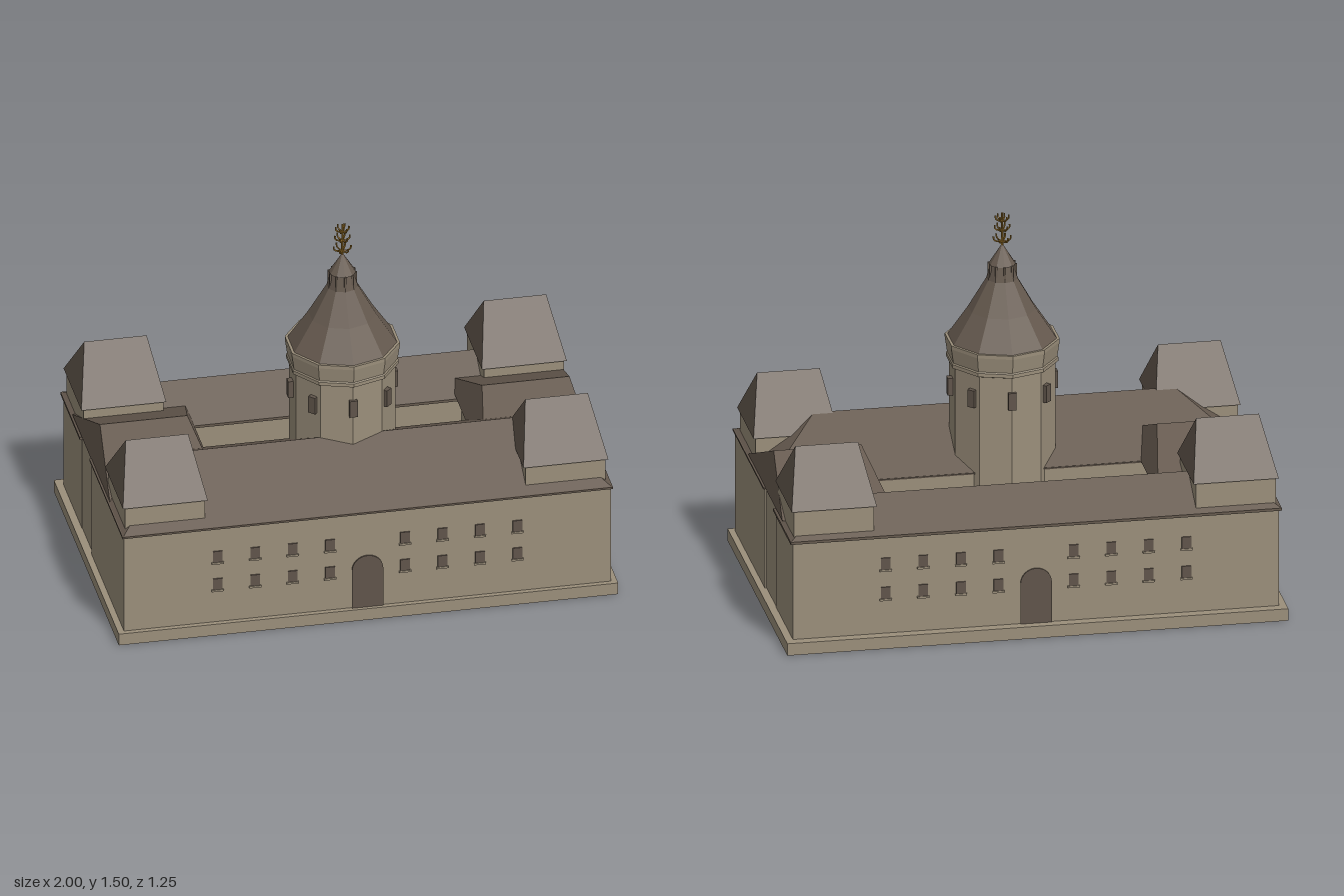
import * as THREE from 'three';

const mat = (name, color) => {
  const m = new THREE.MeshStandardMaterial({ color, flatShading: true });
  m.name = name;
  return m;
};

export function createModel() {
  const model = new THREE.Group();
  const wall = mat('tan stone', 0x9b8f7b);
  const roof = mat('brown roof', 0x665a4f);
  const dark = mat('dark opening', 0x60554b);
  const gold = mat('gold', 0x9a7228);

  const add = (name, geo, material, x = 0, y = 0, z = 0, parent = model) => {
    const m = new THREE.Mesh(geo, material);
    m.name = name;
    m.position.set(x, y, z);
    parent.add(m);
    return m;
  };
  // Box given by its limits on each axis
  const block = (name, material, x0, x1, y0, y1, z0, z1) =>
    add(name, new THREE.BoxGeometry(x1 - x0, y1 - y0, z1 - z0), material,
      (x0 + x1) / 2, (y0 + y1) / 2, (z0 + z1) / 2);
  // Hipped roof with its ridge along x from r0 to r1
  const hipRoof = (name, x0, x1, z0, z1, y0, y1, r0, r1) => {
    const zr = (z0 + z1) / 2;
    const p = [[x0, y0, z1], [x1, y0, z1], [x1, y0, z0], [x0, y0, z0], [r0, y1, zr], [r1, y1, zr]];
    const faces = [0, 1, 5, 0, 5, 4, 1, 2, 5, 2, 3, 4, 2, 4, 5, 3, 0, 4, 0, 3, 2, 0, 2, 1];
    const g = new THREE.BufferGeometry();
    g.setAttribute('position', new THREE.Float32BufferAttribute(faces.flatMap(i => p[i]), 3));
    g.computeVertexNormals();
    return add(name, g, roof);
  };

  // Plinth and long wings
  block('plinth', wall, -1, 1, 0, 0.05, -0.626, 0.626);
  block('frontWing', wall, -0.975, 0.975, 0.05, 0.47, -0.024, 0.605);
  block('backWing', wall, -0.97, 0.97, 0.05, 0.455, -0.585, -0.23);
  block('frontEave', roof, -0.982, 0.982, 0.468, 0.476, -0.028, 0.612);
  block('backEave', roof, -0.98, 0.98, 0.452, 0.463, -0.593, -0.222);
  hipRoof('frontWingRoof', -0.98, 0.98, -0.03, 0.61, 0.474, 0.65, -0.72, 0.72);
  hipRoof('backWingRoof', -0.978, 0.978, -0.59, -0.222, 0.462, 0.572, -0.8, 0.8);

  // Side wings
  for (const s of [-1, 1]) {
    const span = (a, b) => (s > 0 ? [a, b] : [-b, -a]);
    block('sideWing', wall, ...span(0.55, 0.968), 0.05, 0.475, -0.3, 0.2);
    hipRoof('sideWingRoof', ...span(0.525, 0.975), -0.39, 0.34, 0.474, 0.627, ...span(0.59, 0.94));
    // Corner towers
    for (const cz of [0.4, -0.4]) {
      block('cornerTower', wall, ...span(0.642, 0.962), 0.45, 0.582, cz - 0.165, cz + 0.165);
      hipRoof('cornerTowerRoof', ...span(0.632, 0.972), cz - 0.172, cz + 0.172, 0.58, 0.79, ...span(0.675, 0.925));
    }
  }

  // Windows and doors on both long facades
  const arch = new THREE.Shape();
  arch.moveTo(-0.0625, 0.05);
  arch.lineTo(0.0625, 0.05);
  arch.lineTo(0.0625, 0.218);
  arch.absarc(0, 0.218, 0.0625, 0, Math.PI, false);
  arch.closePath();
  const doorGeo = new THREE.ExtrudeGeometry(arch, { depth: 0.008, bevelEnabled: false, curveSegments: 8 });
  const paneGeo = new THREE.BoxGeometry(0.038, 0.05, 0.008);
  const sillGeo = new THREE.BoxGeometry(0.048, 0.008, 0.012);
  for (const [z, turn] of [[0.605, 0], [-0.585, Math.PI]]) {
    const facade = new THREE.Group();
    facade.name = 'facadeOpenings';
    facade.position.z = z;
    facade.rotation.y = turn;
    add('door', doorGeo, dark, 0, 0, -0.002, facade);
    for (const x of [0.15, 0.3, 0.45, 0.6, -0.15, -0.3, -0.45, -0.6]) {
      for (const y of [0.22, 0.343]) {
        add('window', paneGeo, dark, x, y, 0.001, facade);
        add('windowSill', sillGeo, wall, x, y - 0.028, 0.002, facade);
      }
    }
    model.add(facade);
  }

  // Ten-sided drum and dome
  const dome = new THREE.Group();
  dome.name = 'dome';
  dome.position.z = 0.122;
  model.add(dome);
  const lathe = (name, pts, material) =>
    add(name, new THREE.LatheGeometry(pts.map(p => new THREE.Vector2(...p)), 10), material, 0, 0, 0, dome);
  lathe('drum', [[0, 0.05], [0.21, 0.05], [0.21, 0.885], [0.222, 0.89], [0.222, 0.905], [0.218, 0.91],
    [0.227, 0.97], [0.227, 0.985], [0, 0.985]], wall);
  lathe('domeRoof', [[0.205, 0.975], [0.216, 0.985], [0.135, 1.105], [0.062, 1.23], [0.048, 1.29],
    [0.054, 1.29], [0, 1.375]], roof);
  // Lantern ribs
  for (let i = 0; i < 10; i++) {
    const rib = add('lanternRib', new THREE.BoxGeometry(0.008, 0.065, 0.008), roof, 0, 1.26, 0, dome);
    const a = i * Math.PI / 5;
    rib.position.x = 0.054 * Math.sin(a);
    rib.position.z = 0.054 * Math.cos(a);
  }
  // Drum windows
  for (let i = 0; i < 8; i++) {
    const a = i * Math.PI / 4;
    const w = add('drumWindow', new THREE.BoxGeometry(0.032, 0.072, 0.03), dark,
      0.205 * Math.sin(a), 0.79, 0.205 * Math.cos(a), dome);
    w.rotation.y = a;
  }

  // Branching finial
  add('finialPole', new THREE.CylinderGeometry(0.004, 0.005, 0.135, 6), gold, 0, 1.435, 0, dome);
  for (const [y, r] of [[1.383, 0.034], [1.43, 0.029], [1.47, 0.026]]) {
    const curve = new THREE.CatmullRomCurve3([[0, 0], [r * 0.7, 0.002], [r, 0.01], [r, 0.024]]
      .map(([x, h]) => new THREE.Vector3(x, h, 0)));
    const armGeo = new THREE.TubeGeometry(curve, 6, 0.0035, 5);
    for (let i = 0; i < 6; i++) {
      add('finialArm', armGeo, gold, 0, y, 0, dome).rotation.y = i * Math.PI / 3;
    }
  }
  return model;
}
